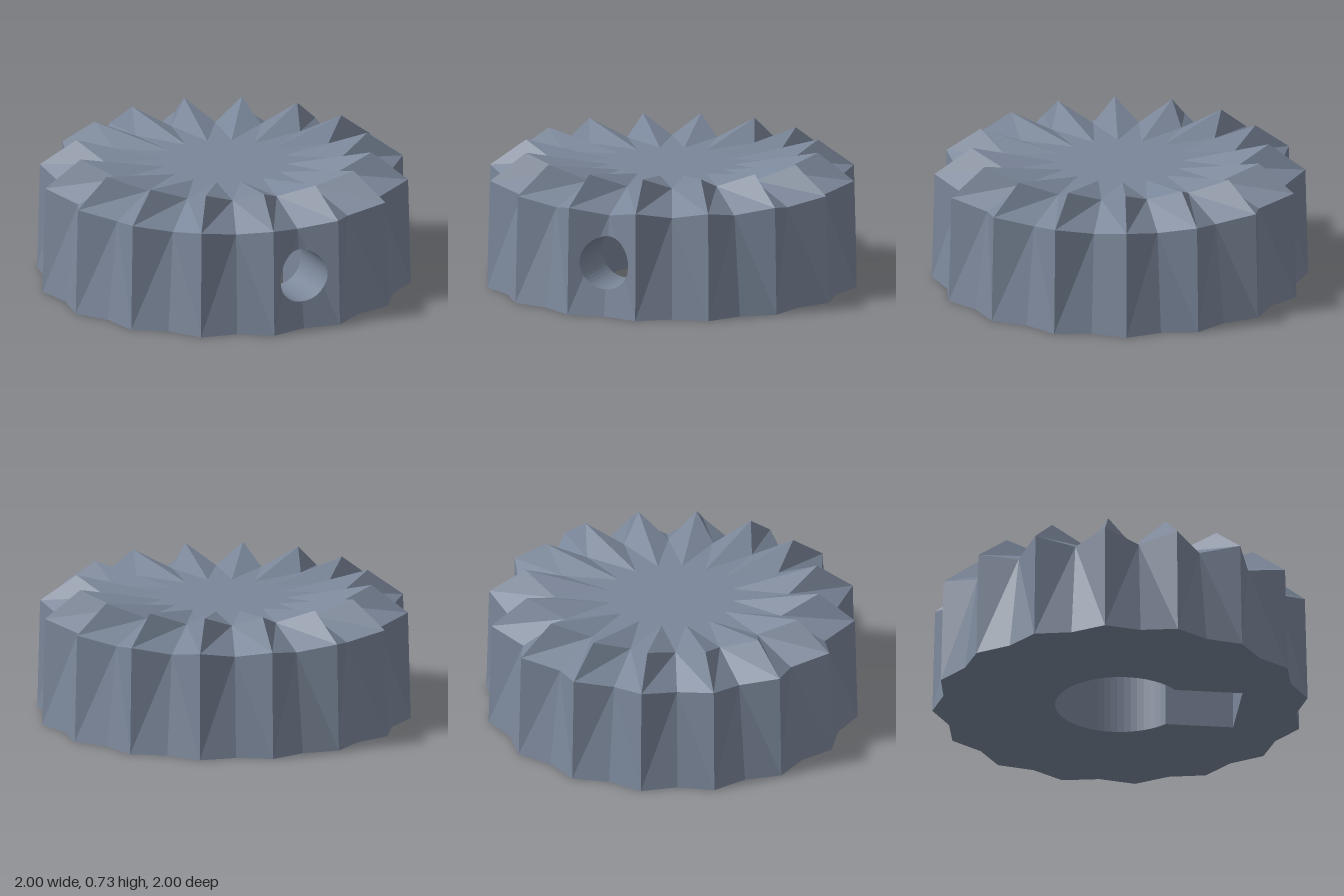
import * as THREE from 'three';

const RIDGES = 16, HALF = Math.PI / RIDGES;
const BORE_R = 0.345, BORE_TOP = 0.335;            // round socket underneath
const SLOT_W = 0.216, SLOT_END = 0.63, SLOT_TOP = 0.5; // slot half width, outer end, ceiling
const HOLE_R = 0.14, HOLE_Y = 0.285;               // side hole

// Profiles as [radius, height], from the base up and in to the flat centre
const RIDGE = [[1, 0], [0.985, 0.58], [0.79, 0.725], [0.33, 0.64]];
const VALLEY = [[0.944, 0], [0.867, 0.535], [0.62, 0.64]];

const at = ([r, y], a) => new THREE.Vector3(r * Math.sin(a), y, r * Math.cos(a));

function meshFrom(name, tris, material) {
  const g = new THREE.BufferGeometry().setFromPoints(tris.flat());
  g.computeVertexNormals();
  const m = new THREE.Mesh(g, material);
  m.name = name;
  return m;
}

// Push a triangle, reversing it on the mirrored side
const put = (tris, s, a, b, c) => tris.push(s > 0 ? [a, b, c] : [a, c, b]);

// Vertical wall along a path of [x, z] points
function wall(tris, path, y0, y1) {
  for (let i = 0; i + 1 < path.length; i++) {
    const [p, q] = [path[i], path[i + 1]];
    const a = new THREE.Vector3(p[0], y0, p[1]), b = new THREE.Vector3(q[0], y0, q[1]);
    const c = new THREE.Vector3(q[0], y1, q[1]), d = new THREE.Vector3(p[0], y1, p[1]);
    tris.push([a, b, c], [a, c, d]);
  }
}

// Flat horizontal face looking down
function downFace(name, outline, hole, y, material) {
  const v2 = (l) => l.map(([x, z]) => new THREE.Vector2(x, z));
  const shape = new THREE.Shape(v2(outline));
  if (hole) shape.holes.push(new THREE.Path(v2(hole)));
  const m = new THREE.Mesh(new THREE.ShapeGeometry(shape).rotateX(Math.PI / 2), material);
  m.position.y = y;
  m.name = name;
  return m;
}

// Ridged sides and top; the front sector's side is left for the drilled panel
function flutes(material) {
  const tris = [], centre = new THREE.Vector3(0, RIDGE[3][1], 0);
  for (let k = 0; k < RIDGES; k++) {
    for (const s of [1, -1]) {
      const a = k * 2 * HALF;
      const [rb, rt, rp, ri] = RIDGE.map((p) => at(p, a + s * HALF));
      const [vb, vt, vi] = VALLEY.map((p) => at(p, a));
      if (k > 0) {
        put(tris, s, vb, rb, vt);
        put(tris, s, rb, rt, vt);
      }
      put(tris, s, vt, rt, vi);
      put(tris, s, rt, rp, vi);
      put(tris, s, vi, rp, ri);
      put(tris, s, vi, ri, centre);
    }
  }
  return meshFrom('flutedBody', tris, material);
}

// Front side panel with the round hole, plus the tunnel into the slot
function drilledPanel(material) {
  const panel = [], tunnel = [];
  const [rb, rt] = RIDGE.map((p) => at(p, HALF));
  const [vb, vt] = VALLEY.map((p) => at(p, 0));
  const lower = new THREE.Plane().setFromCoplanarPoints(vb, rb, vt);
  const upper = new THREE.Plane().setFromCoplanarPoints(rb, rt, vt);

  // Distance along a ray from the hole centre to the line through p and q
  const cross = (c, s, p, q) => {
    const ex = q.x - p.x, ey = q.y - p.y, det = c * ey - s * ex;
    return Math.abs(det) < 1e-9 ? Infinity : (p.x * ey - (p.y - HOLE_Y) * ex) / det;
  };
  const ahead = (t) => (t > 1e-6 ? t : Infinity);

  // Even angles plus the exact corner directions
  const angles = [rb, rt].map((p) => Math.atan2(p.y - HOLE_Y, p.x));
  for (let i = 0; i <= 24; i++) angles.push(-Math.PI / 2 + (Math.PI * i) / 24);
  angles.sort((a, b) => a - b);

  for (const side of [1, -1]) {
    const rays = angles.map((a) => {
      const c = Math.cos(a), s = Math.sin(a);
      const outer = Math.min(...[[vb, rb], [rb, rt], [rt, vt]].map(([p, q]) => ahead(cross(c, s, p, q))));
      const crease = ahead(cross(c, s, rb, vt));
      const mid = Math.min(Math.max(crease, HOLE_R), outer);
      const point = (t) => {
        const x = c * t, y = HOLE_Y + s * t;
        const pl = t > crease ? upper : lower;
        return new THREE.Vector3(side * x, y, -(pl.normal.x * x + pl.normal.y * y + pl.constant) / pl.normal.z);
      };
      const rim = point(HOLE_R);
      return [new THREE.Vector3(rim.x, rim.y, SLOT_END), rim, point(mid), point(outer)];
    });
    for (let i = 0; i + 1 < rays.length; i++) {
      for (let j = 0; j < 3; j++) {
        const p = rays[i], q = rays[i + 1], list = j ? panel : tunnel;
        put(list, side, p[j], p[j + 1], q[j + 1]);
        put(list, side, p[j], q[j + 1], q[j]);
      }
    }
  }
  return [meshFrom('drilledPanel', panel, material), meshFrom('sideHole', tunnel, material)];
}

// Underside with the round socket and the taller slot running to the side hole
function underside(material) {
  const join = Math.sqrt(BORE_R ** 2 - SLOT_W ** 2), a0 = Math.asin(SLOT_W / BORE_R);
  const arc = [];
  for (let i = 0; i <= 48; i++) {
    const a = a0 + ((2 * Math.PI - 2 * a0) * i) / 48;
    arc.push([BORE_R * Math.sin(a), BORE_R * Math.cos(a)]);
  }
  const rim = [];
  for (let i = 0; i < RIDGES; i++) {
    for (const [r, a] of [[VALLEY[0][0], 0], [RIDGE[0][0], HALF]]) {
      const t = i * 2 * HALF + a;
      rim.push([r * Math.sin(t), r * Math.cos(t)]);
    }
  }
  const W = SLOT_W, E = SLOT_END;
  const walls = [];
  wall(walls, arc, 0, BORE_TOP);
  wall(walls, [[W, E], [W, join]], 0, SLOT_TOP);
  wall(walls, [[-W, join], [-W, E]], 0, SLOT_TOP);
  wall(walls, [[W, join], [W, 0], [-W, 0], [-W, join]], BORE_TOP, SLOT_TOP);

  // Outer end of the slot, pierced by the side hole
  const end = new THREE.Shape([[-W, 0], [W, 0], [W, SLOT_TOP], [-W, SLOT_TOP]].map((p) => new THREE.Vector2(...p)));
  end.holes.push(new THREE.Path().absarc(0, HOLE_Y, HOLE_R, 0, 2 * Math.PI, true));
  const endWall = new THREE.Mesh(new THREE.ShapeGeometry(end, 24), material);
  endWall.position.z = E;
  endWall.name = 'slotEndWall';

  return [
    downFace('base', rim, [...arc, [-W, E], [W, E]], 0, material),
    meshFrom('socketWalls', walls, material),
    downFace('socketCeiling', [...arc, [-W, 0], [W, 0]], null, BORE_TOP, material),
    downFace('slotCeiling', [[-W, 0], [W, 0], [W, E], [-W, E]], null, SLOT_TOP, material),
    endWall,
  ];
}

export function createModel() {
  const slate = new THREE.MeshStandardMaterial({ color: 0x7a8699, flatShading: true, side: THREE.DoubleSide });
  slate.name = 'slateGrey';
  const knob = new THREE.Group();
  knob.name = 'knob';
  knob.add(flutes(slate), ...drilledPanel(slate), ...underside(slate));
  knob.rotation.y = HALF; // the hole sits in the groove just left of the front ridge
  const model = new THREE.Group();
  model.add(knob);
  return model;
}
